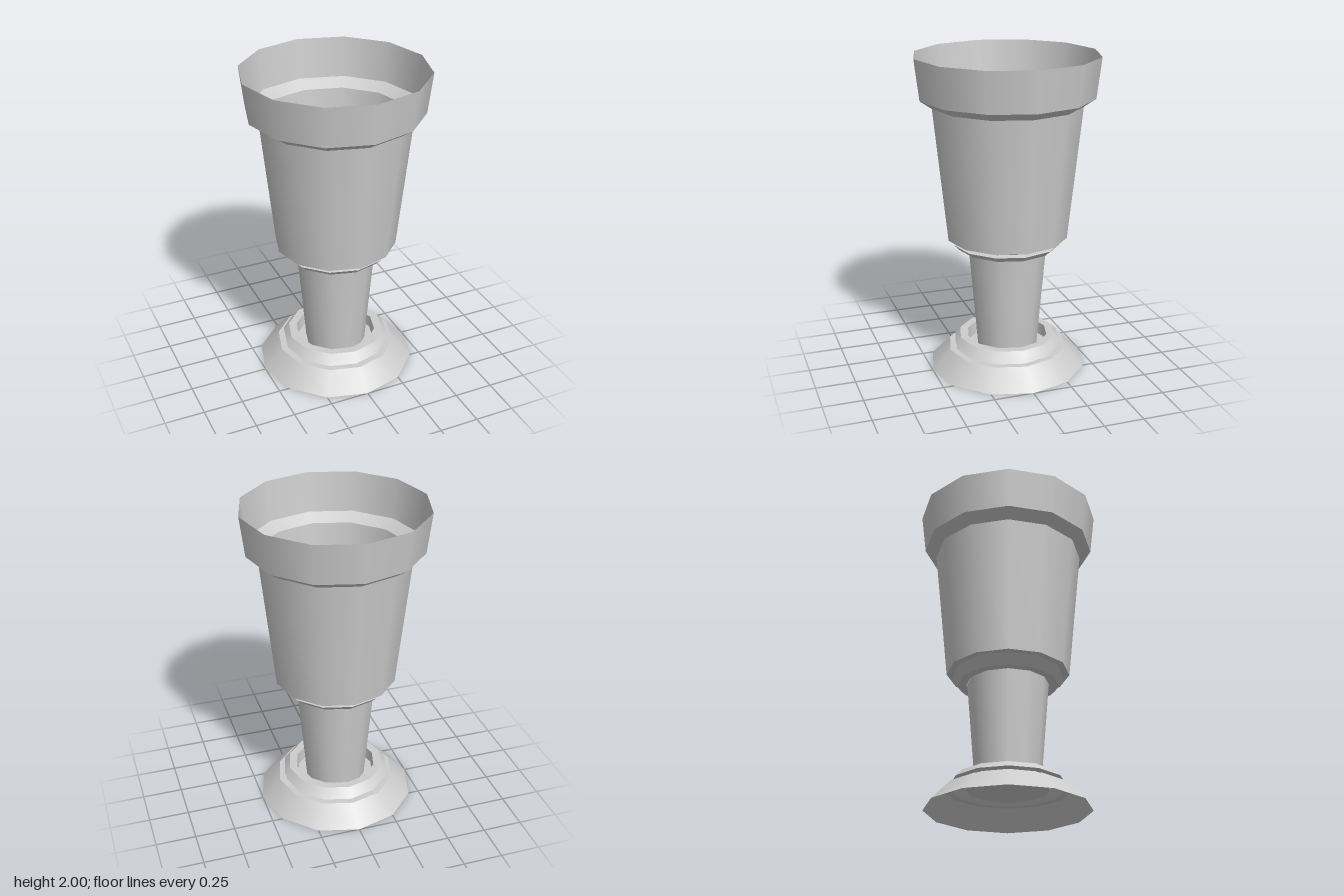
import * as THREE from 'three';
import { mergeGeometries } from 'three/addons/utils/BufferGeometryUtils.js';

const SIDES = 12;

export function createModel() {
  const group = new THREE.Group();
  group.name = 'goblet';
  const metal = new THREE.MeshStandardMaterial({ color: 0xcccccc, side: THREE.DoubleSide });
  metal.name = 'pale grey';

  // Turned part: smooth around the axis, sharp between profile bands
  function turned(name, profile) {
    const bands = [];
    for (let i = 0; i < profile.length - 1; i++) {
      const pair = [profile[i], profile[i + 1]].map(([r, y]) => new THREE.Vector2(r, y));
      bands.push(new THREE.LatheGeometry(pair, SIDES));
    }
    const mesh = new THREE.Mesh(mergeGeometries(bands), metal);
    mesh.name = name;
    group.add(mesh);
  }

  // Flared foot, open underneath
  turned('foot', [[0.5, 0], [0.38, 0.123], [0.338, 0.123]]);

  // Collar with a recessed socket that holds the lower end of the stem
  turned('lowerCollar', [
    [0.338, 0.123], [0.305, 0.153], [0.345, 0.16], [0.31, 0.198],
    [0.258, 0.198], [0.25, 0.123], [0, 0.123],
  ]);

  // Tapered stem
  turned('stem', [[0.194, 0.125], [0.251, 0.8]]);

  // Matching collar, turned over, closing the bottom of the bowl
  turned('upperCollar', [
    [0, 0.865], [0.25, 0.865], [0.258, 0.795], [0.31, 0.795],
    [0.345, 0.83], [0.305, 0.836], [0.338, 0.865],
  ]);

  // Thin open bowl
  turned('bowl', [[0.338, 0.865], [0.38, 0.865], [0.467, 1.7]]);

  // Wide rim band
  turned('rim', [[0.467, 1.7], [0.54, 1.75], [0.57, 2]]);

  return group;
}
